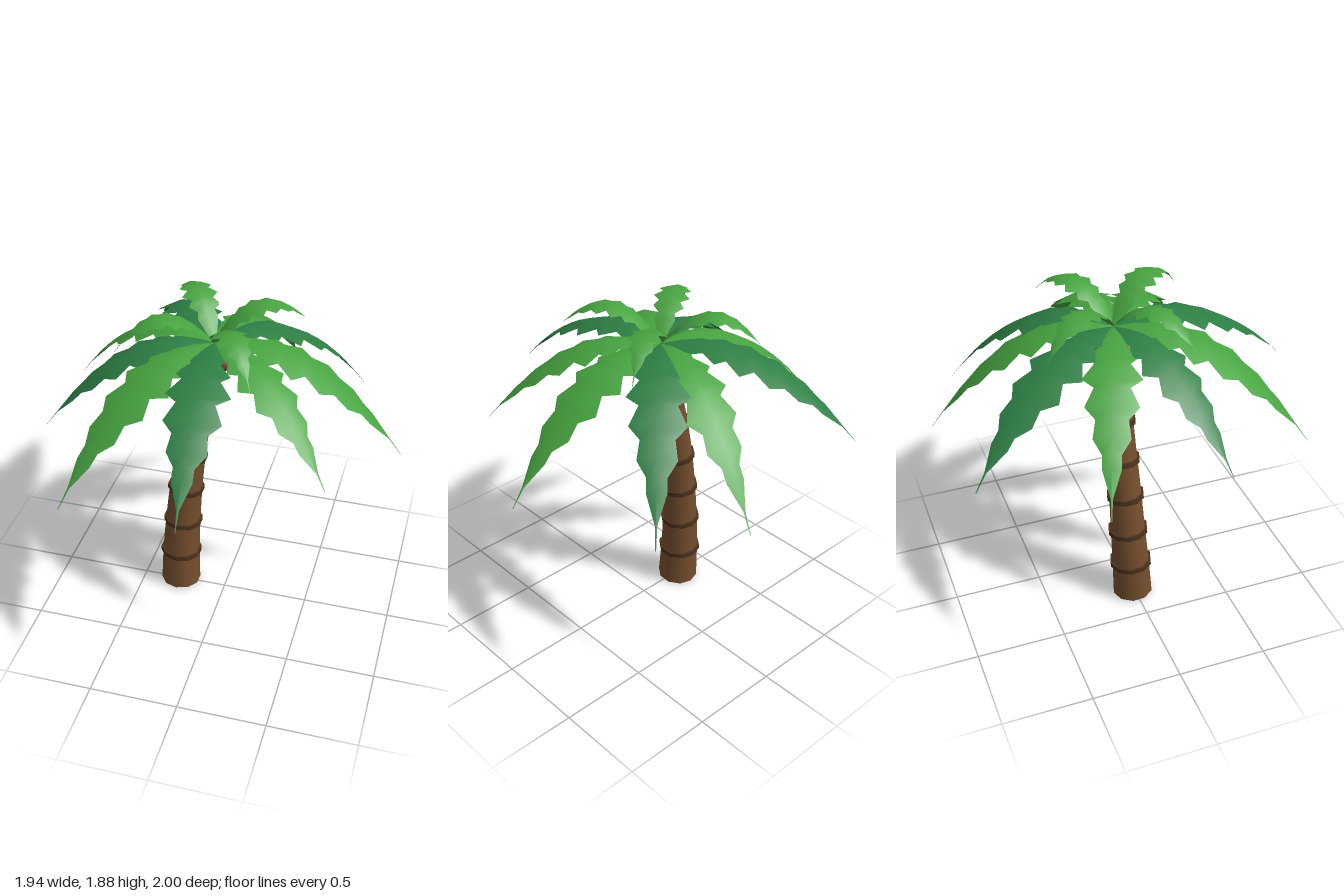
import * as THREE from 'three';

const mat = (name, color, side = THREE.FrontSide) => {
  const m = new THREE.MeshStandardMaterial({ color, side });
  m.name = name;
  return m;
};

// Leaf outline: fraction of the length, half width per unit of length
const OUTLINE = [
  [0, 0.015], [0.1, 0.06], [0.18, 0.09], [0.23, 0.075], [0.3, 0.135], [0.35, 0.095],
  [0.43, 0.16], [0.49, 0.095], [0.575, 0.142], [0.64, 0.085], [0.715, 0.098],
  [0.78, 0.05], [0.83, 0.05], [0.93, 0.006], [1, 0.002],
];

// Arched, folded leaf running along +z: rises with the given slope, then droops to the tip
function frondGeometry(length, drop, slope, widthScale) {
  const bend = (slope * length + drop) / (length * length);
  const pos = [], index = [];
  OUTLINE.forEach(([t, half], i) => {
    const r = t * length, w = half * length * widthScale;
    const y = slope * r - bend * r * r;
    pos.push(-w, y - w * 0.28, r, 0, y, r, w, y - w * 0.28, r);
    if (i === 0) return;
    for (let k = 0; k < 2; k++) {
      const a = (i - 1) * 3 + k, b = a + 1, c = a + 3, d = a + 4;
      index.push(a, c, b, b, c, d);
    }
  });
  const g = new THREE.BufferGeometry();
  g.setAttribute('position', new THREE.Float32BufferAttribute(pos, 3));
  g.setIndex(index);
  g.computeVertexNormals();
  return g;
}

export function createModel() {
  const model = new THREE.Group();
  model.name = 'palmTree';
  const bark = mat('bark', 0x77502f);
  const darkBark = mat('darkBark', 0x4c321d);
  const nutBrown = mat('nutBrown', 0x704629);
  const lightLeaf = mat('lightLeaf', 0x47a340, THREE.DoubleSide);
  const darkLeaf = mat('darkLeaf', 0x2e7f45, THREE.DoubleSide);

  const add = (name, geometry, material, parent = model) => {
    const mesh = new THREE.Mesh(geometry, material);
    mesh.name = name;
    parent.add(mesh);
    return mesh;
  };

  // Leaning centre line of the trunk
  const path = new THREE.CatmullRomCurve3([
    [-0.278, 0.012, -0.006], [-0.275, 0.235, -0.019], [-0.262, 0.465, -0.032],
    [-0.242, 0.7, -0.041], [-0.214, 0.93, -0.05], [-0.177, 1.16, -0.054],
    [-0.132, 1.39, -0.052], [-0.08, 1.64, -0.05],
  ].map((p) => new THREE.Vector3(...p)));
  const up = new THREE.Vector3(0, 1, 0);
  const frameAt = (t) => new THREE.Quaternion().setFromUnitVectors(up, path.getTangent(t));
  const radiusAt = (t) => 0.117 - 0.052 * t;

  // Trunk: a straight cylinder bent along the centre line
  const trunk = new THREE.CylinderGeometry(1, 1, 1, 10, 21);
  const p = trunk.attributes.position, n = trunk.attributes.normal;
  const v = new THREE.Vector3();
  for (let i = 0; i < p.count; i++) {
    const t = THREE.MathUtils.clamp(p.getY(i) + 0.5, 0, 1);
    const q = frameAt(t), r = radiusAt(t);
    v.set(p.getX(i) * r, 0, p.getZ(i) * r).applyQuaternion(q).add(path.getPoint(t));
    p.setXYZ(i, v.x, v.y, v.z);
    v.fromBufferAttribute(n, i).applyQuaternion(q);
    n.setXYZ(i, v.x, v.y, v.z);
  }
  add('trunk', trunk, bark);

  // Raised rings around the trunk
  const rings = new THREE.Group();
  rings.name = 'trunkRings';
  model.add(rings);
  for (let i = 1; i <= 6; i++) {
    const t = i / 7, r = radiusAt(t) + 0.012;
    const ring = add('trunkRing', new THREE.CylinderGeometry(r, r, 0.028, 10), darkBark, rings);
    ring.position.copy(path.getPoint(t));
    ring.quaternion.copy(frameAt(t));
  }

  // Nuts hanging below the crown
  [2.35, 4.45, 6.5].forEach((a) => {
    const nut = add('coconut', new THREE.SphereGeometry(0.045, 10, 8), nutBrown);
    nut.position.set(-0.092 + 0.075 * Math.cos(a), 1.575, -0.05 + 0.075 * Math.sin(a));
  });

  // Leaves: each entry is the tip position and its colour
  const crown = new THREE.Vector3(-0.07, 1.685, -0.05);
  const addFrond = (name, [x, y, z], material, slope, widthScale) => {
    const dx = x - crown.x, dz = z - crown.z;
    const g = frondGeometry(Math.hypot(dx, dz), crown.y - y, slope, widthScale);
    const frond = add(name, g, material);
    frond.position.copy(crown);
    frond.rotation.y = Math.atan2(dx, dz);
  };
  [
    [[0.21, 1.09, -1.0], lightLeaf], [[0.65, 1.1, -0.79], darkLeaf],
    [[0.965, 1.13, -0.08], lightLeaf], [[0.66, 1.27, 0.53], lightLeaf],
    [[0.024, 1.245, 1.0], darkLeaf], [[-0.65, 1.125, 0.84], lightLeaf],
    [[-0.93, 1.225, 0.275], darkLeaf], [[-0.97, 1.165, -0.38], lightLeaf],
    [[-0.64, 1.25, -0.955], darkLeaf],
  ].forEach(([tip, material]) => addFrond('lowerFrond', tip, material, 0.32, 1));
  [
    [0.24, 1.715, 0.415], [-0.53, 1.715, 0.23], [-0.38, 1.715, -0.5], [0.39, 1.715, -0.34],
  ].forEach((tip) => addFrond('upperFrond', tip, lightLeaf, 1.4, 1.15));

  return model;
}
